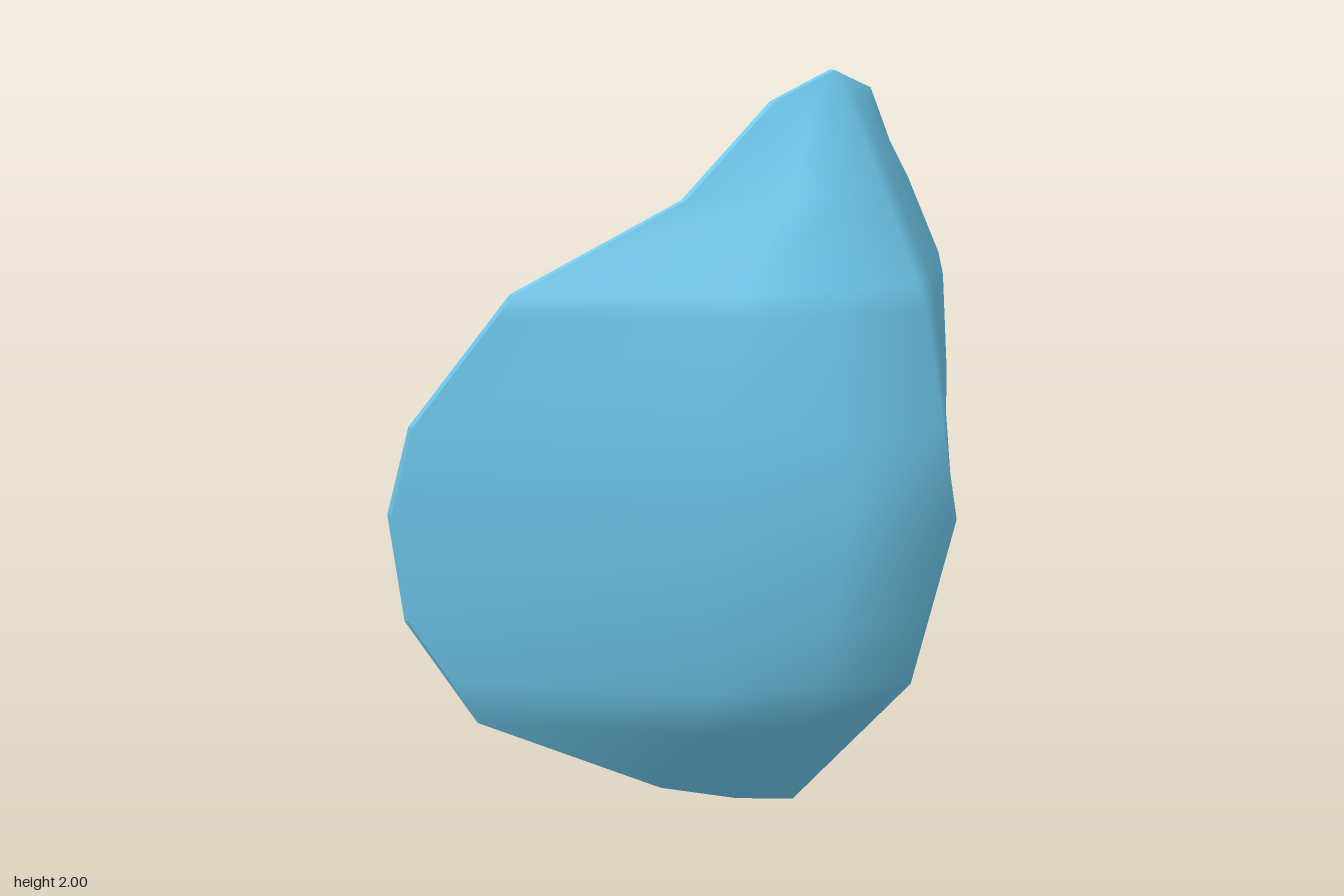
import * as THREE from 'three';
import { mergeVertices } from 'three/addons/utils/BufferGeometryUtils.js';

// Half outline: [y, half width, z of the rim]
const RIM = [
  [0, 0, 0.035], [0.015, 0.125, -0.06], [0.06, 0.285, -0.19], [0.29, 0.685, -0.465],
  [0.59, 0.84, -0.565], [0.89, 0.895, -0.555], [1.135, 0.895, -0.465],
  [1.48, 0.75, -0.24], [1.705, 0.43, 0.045], [1.935, 0.195, 0.135], [2, 0, 0.17],
];
// Central ridge: [y, z]
const RIDGE = [[0, 0.035], [0.42, 0.435], [0.89, 0.575], [1.42, 0.475], [1.87, 0.25], [2, 0.17]];
// Cross-section from ridge to rim: [fraction of width, fraction of depth]
const SECTION = [[-1, 1], [-0.54, 0.35], [-0.24, 0.155], [0, 0], [0.24, 0.155], [0.54, 0.35], [1, 1]];
const THICKNESS = 0.015;

// Linear lookup of one column in a table sorted by its first column
function lookup(table, y, column) {
  let i = 1;
  while (i < table.length - 1 && table[i][0] < y) i++;
  const a = table[i - 1], b = table[i];
  return THREE.MathUtils.lerp(a[column], b[column], (y - a[0]) / (b[0] - a[0]));
}

function makeGeometry(positions, index) {
  const g = new THREE.BufferGeometry();
  g.setAttribute('position', new THREE.Float32BufferAttribute(positions, 3));
  g.setIndex(index);
  return g;
}

export function createModel() {
  const group = new THREE.Group();
  group.name = 'curvedShell';
  const material = new THREE.MeshStandardMaterial({ color: 0x6ec8ec });
  const add = (name, geometry) => {
    geometry.computeVertexNormals();
    const mesh = new THREE.Mesh(geometry, material);
    mesh.name = name;
    group.add(mesh);
  };

  // Horizontal rows at every rim and ridge level
  const levels = [...new Set([...RIM, ...RIDGE].map((p) => p[0]))].sort((a, b) => a - b);
  const rows = levels.map((y) => {
    const w = lookup(RIM, y, 1), edge = lookup(RIM, y, 2), mid = lookup(RIDGE, y, 1);
    return SECTION.map(([u, f]) => [u * w, y, mid + (edge - mid) * f]);
  });

  const n = SECTION.length, last = rows.length - 1;
  const index = [];
  for (let r = 0; r < last; r++) {
    for (let c = 0; c < n - 1; c++) {
      const a = r * n + c, b = a + 1, d = a + n, e = d + 1;
      // Rows close to a point at both ends; diagonals mirror across the ridge
      if (r === 0) index.push(a, e, d);
      else if (r === last - 1) index.push(a, b, d);
      else if (c < (n - 1) / 2) index.push(a, b, e, a, e, d);
      else index.push(a, b, d, b, e, d);
    }
  }

  // Front skin
  const front = mergeVertices(makeGeometry(rows.flat(2), index));
  add('outerSkin', front);

  // Back skin, facing the other way
  const back = front.clone().translate(0, 0, -THICKNESS);
  back.setIndex(Array.from(front.index.array).reverse());
  add('innerSkin', back);

  // Thin edge band joining the two skins, counter-clockwise from the bottom tip
  const loop = [...rows.map((row) => row[n - 1]), ...rows.slice(1, -1).reverse().map((row) => row[0])];
  const band = [], bandIndex = [];
  loop.forEach(([x, y, z], i) => {
    band.push(x, y, z, x, y, z - THICKNESS);
    const a = 2 * i, b = 2 * ((i + 1) % loop.length);
    bandIndex.push(a, a + 1, b + 1, a, b + 1, b);
  });
  add('edgeBand', makeGeometry(band, bandIndex).toNonIndexed());

  return group;
}
